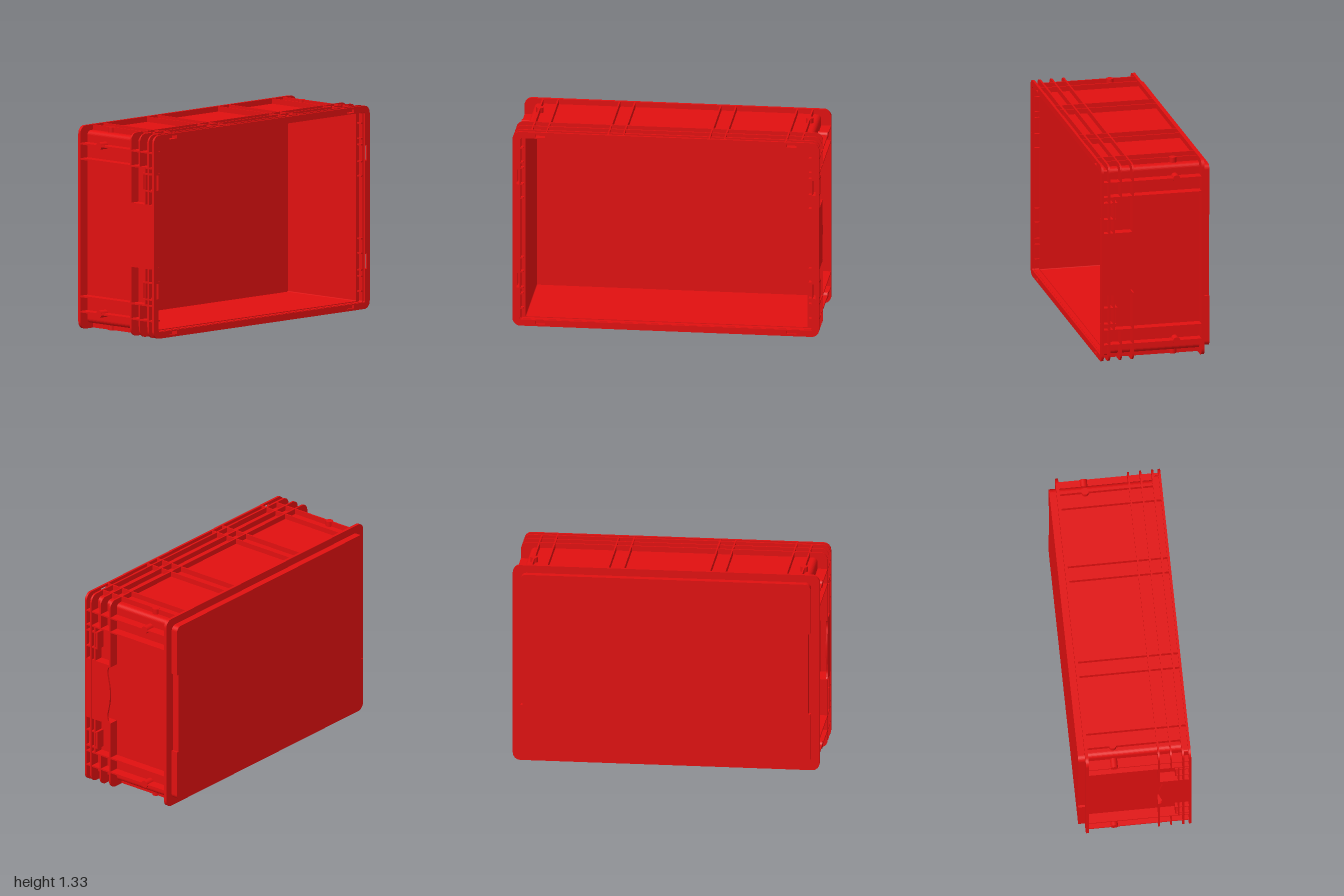
import * as THREE from 'three';

const H = 1.33, MID = H / 2;
const BACK = -0.305, FRONT = 0.365;
const WALL_X = 0.935, WALL_Y = 0.63;     // outer half sizes of the tub
const CAV_X = 0.92, CAV_Y = 0.615;       // inner half sizes of the tub

export function createModel() {
  const group = new THREE.Group();
  const red = new THREE.MeshStandardMaterial({ color: 0xe01010, side: THREE.DoubleSide });

  const add = (name, geo, x = 0, y = 0, z = 0) => {
    const mesh = new THREE.Mesh(geo, red);
    mesh.name = name;
    mesh.position.set(x, y, z);
    group.add(mesh);
    return mesh;
  };

  // box given by its limits
  const box = (name, x0, x1, y0, y1, z0, z1) =>
    add(name, new THREE.BoxGeometry(Math.abs(x1 - x0), y1 - y0, z1 - z0),
      (x0 + x1) / 2, (y0 + y1) / 2, (z0 + z1) / 2);

  // rounded rectangle about the middle of the crate; the sides step in
  // to notchX between the heights -notchY and notchY
  const outline = (T, hx, hy, r, notchY = 0, notchX = hx) => {
    const s = new T();
    s.moveTo(-hx + r, -hy);
    s.lineTo(hx - r, -hy);
    s.absarc(hx - r, -hy + r, r, -Math.PI / 2, 0, false);
    if (notchY) {
      s.lineTo(hx, -notchY); s.lineTo(notchX, -notchY);
      s.lineTo(notchX, notchY); s.lineTo(hx, notchY);
    }
    s.absarc(hx - r, hy - r, r, 0, Math.PI / 2, false);
    s.absarc(-hx + r, hy - r, r, Math.PI / 2, Math.PI, false);
    if (notchY) {
      s.lineTo(-hx, notchY); s.lineTo(-notchX, notchY);
      s.lineTo(-notchX, -notchY); s.lineTo(-hx, -notchY);
    }
    s.absarc(-hx + r, -hy + r, r, Math.PI, Math.PI * 1.5, false);
    return s;
  };
  const rectHole = (x, y, w, h) => {
    const p = new THREE.Path();
    p.moveTo(x - w / 2, y - h / 2);
    p.lineTo(x + w / 2, y - h / 2);
    p.lineTo(x + w / 2, y + h / 2);
    p.lineTo(x - w / 2, y + h / 2);
    p.closePath();
    return p;
  };
  const slab = (name, shape, z0, z1) =>
    add(name, new THREE.ExtrudeGeometry(shape, { depth: z1 - z0, bevelEnabled: false, curveSegments: 6 }), 0, MID, z0);
  const ring = (name, outer, inner, z0, z1, holes = []) => {
    outer.holes.push(inner, ...holes);
    return slab(name, outer, z0, z1);
  };
  const S = THREE.Shape, P = THREE.Path;

  // slots through the front frame
  const latchHoles = () => [-1, 1].flatMap(sx => [-1, 1].map(sy => rectHole(sx * 0.966, sy * 0.355, 0.018, 0.1)));
  const edgeHoles = () => [-1, 1].flatMap(sx => [-1, 1].map(sy => rectHole(sx * 0.82, sy * 0.64, 0.065, 0.022)));

  // tub: walls, floor and raised base
  ring('tubWalls', outline(S, WALL_X, WALL_Y, 0.03), outline(P, CAV_X, CAV_Y, 0.006), BACK, 0.31);
  slab('floorFlange', outline(S, 1, MID, 0.05), -0.32, -0.3);
  slab('base', outline(S, 0.945, 0.615, 0.035, 0.275, 0.93), -0.365, -0.32);

  // front rim with its stepped ledge
  ring('frontRim', outline(S, 1, MID, 0.05), outline(P, 0.955, 0.622, 0.01), 0.35, FRONT,
    [...latchHoles(), ...edgeHoles()]);
  ring('rimLip', outline(S, 0.957, 0.628, 0.012), outline(P, 0.948, 0.62, 0.01), 0.31, 0.352);
  ring('rimLedge', outline(S, 1, MID, 0.05), outline(P, CAV_X, CAV_Y, 0.006), 0.307, 0.32, latchHoles());

  // stiffening flanges, open on the short sides around the grips
  ring('upperFlange', outline(S, 1, MID, 0.05, 0.45, 0.932), outline(P, 0.926, 0.62, 0.01), 0.23, 0.241);
  ring('lowerFlange', outline(S, 1, MID, 0.05, 0.205, 0.932), outline(P, 0.926, 0.62, 0.01), 0.15, 0.161);

  // ribs and pins on the long sides
  for (const s of [-1, 1]) {
    const inner = MID + s * 0.625, outer = MID + s * (MID - 0.001);
    const y0 = Math.min(inner, outer), y1 = Math.max(inner, outer);
    for (const x of [-0.88, -0.78, -0.38, -0.28, 0.28, 0.38, 0.78, 0.88])
      box('longSideRib', x - 0.005, x + 0.005, y0, y1, BACK, Math.abs(x) < 0.8 ? 0.352 : 0.31);
    for (const x of [-0.88, 0.88])
      add('longSidePin', new THREE.CylinderGeometry(0.024, 0.024, y1 - y0, 20), x, (y0 + y1) / 2, -0.135);
  }

  // ribs, pins, latch pockets and grip on the short sides
  for (const s of [-1, 1]) {
    const xi = s * 0.93, xo = s * 0.999;
    for (const m of [-1, 1]) {
      const at = d => MID + m * d;
      const rib = (name, d, z0, z1) => box(name, xi, xo, at(d) - 0.005, at(d) + 0.005, z0, z1);
      rib('shortSideRib', 0.55, BACK, 0.352);
      rib('shortSideRib', 0.45, BACK, 0.352);
      rib('gripEnd', 0.205, 0.15, 0.352);
      rib('latchPocketSide', 0.41, 0.26, 0.352);
      rib('latchPocketSide', 0.3, 0.26, 0.352);
      const span = (name, d0, d1, z) =>
        box(name, xi, xo, Math.min(at(d0), at(d1)), Math.max(at(d0), at(d1)), z, z + 0.01);
      span('latchPocketFloor', 0.3, 0.41, 0.26);
      span('gripShelf', 0.205, 0.45, 0.278);
      const pin = add('shortSidePin', new THREE.CylinderGeometry(0.024, 0.024, 0.068, 20), s * 0.965, at(0.55), -0.135);
      pin.rotation.z = Math.PI / 2;
    }

    // grip plate with a wavy finger edge, drawn in z and y
    const g = new THREE.Shape();
    g.moveTo(0.36, 0.46);
    g.lineTo(0.155, 0.46);
    g.lineTo(0.17, 0.475);
    g.splineThru([[0.177, 0.51], [0.17, 0.55], [0.157, 0.62], [0.156, 0.7], [0.168, 0.77], [0.177, 0.82], [0.17, 0.855]]
      .map(p => new THREE.Vector2(...p)));
    g.lineTo(0.155, 0.87);
    g.lineTo(0.36, 0.87);
    g.closePath();
    const geo = new THREE.ExtrudeGeometry(g, { depth: 0.012, bevelEnabled: false, curveSegments: 20 });
    geo.rotateY(-Math.PI / 2);           // z,y profile; thickness runs to -x
    geo.scale(1, 1, 1);
    add('gripPlate', geo, s > 0 ? 0.999 : -0.987);
  }
  return group;
}
